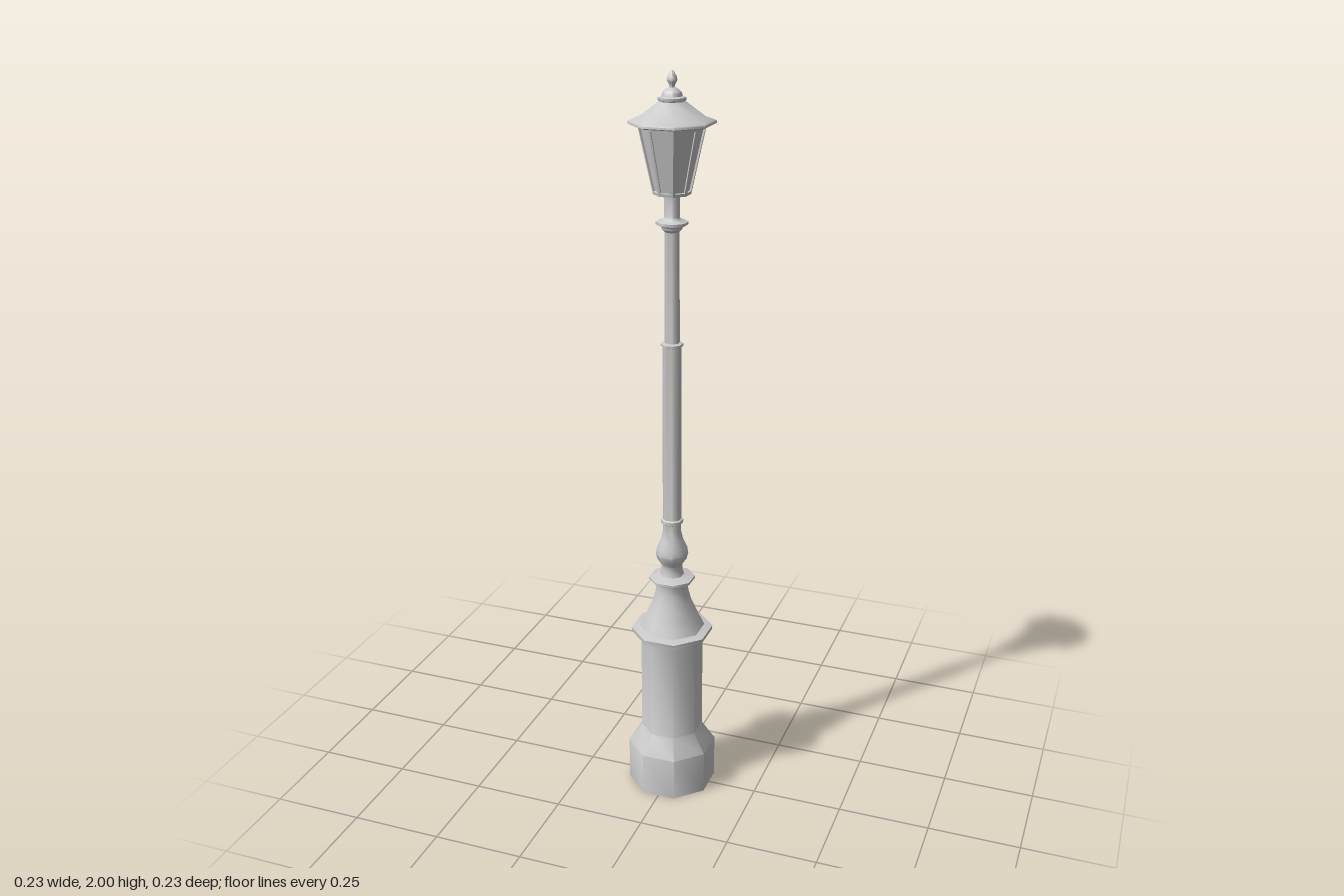
import * as THREE from 'three';
import { toCreasedNormals } from 'three/addons/utils/BufferGeometryUtils.js';

const SIDES = 8;
const material = new THREE.MeshStandardMaterial({ color: 0xcccccc, side: THREE.DoubleSide });

// Octagonal turned part; profile holds [half width across flats, height]
function turned(name, profile, crease = 0.82) {
  const points = profile.map(([r, y]) => new THREE.Vector2(r / Math.cos(Math.PI / SIDES), y));
  const geometry = new THREE.LatheGeometry(points, SIDES, Math.PI / SIDES);
  const mesh = new THREE.Mesh(toCreasedNormals(geometry, crease), material);
  mesh.name = name;
  return mesh;
}

// Trapezoid outline, narrow end at the bottom
function trapezoid(path, bottom, top, y0, y1) {
  path.moveTo(-bottom, y0);
  path.lineTo(bottom, y0);
  path.lineTo(top, y1);
  path.lineTo(-top, y1);
  path.closePath();
  return path;
}

function createLantern() {
  const lantern = new THREE.Group();
  lantern.name = 'lantern';
  const y0 = 1.7, y1 = 1.872, r0 = 0.044, r1 = 0.079;
  const slant = Math.hypot(y1 - y0, r1 - r0);
  const tilt = Math.atan2(r1 - r0, y1 - y0);
  const half = Math.tan(Math.PI / SIDES);

  // Eight window frames leaning outward
  const shape = trapezoid(new THREE.Shape(), r0 * half, r1 * half, 0, slant);
  shape.holes.push(trapezoid(new THREE.Path(), r0 * half - 0.005, r1 * half - 0.006, 0.008, slant - 0.01));
  const depth = 0.006;
  const frame = new THREE.ExtrudeGeometry(shape, { depth, bevelEnabled: false });
  frame.translate(0, 0, -depth);
  frame.rotateX(tilt);
  frame.translate(0, y0, r0);
  for (let i = 0; i < SIDES; i++) {
    const mesh = new THREE.Mesh(frame, material);
    mesh.name = 'windowFrame';
    mesh.rotation.y = (i * 2 * Math.PI) / SIDES;
    lantern.add(mesh);
  }

  // Recessed panes and floor
  lantern.add(turned('glassPanes', [[0, y0 + 0.001], [r0 - 0.005, y0 + 0.001], [r1 - 0.005, y1]], 0.4));

  // Roof with a flat eave and a shallow cone
  lantern.add(turned('roof', [
    [0.07, 1.87], [0.095, 1.87], [0.101, 1.873], [0.101, 1.878], [0.098, 1.881],
    [0.077, 1.888], [0.03, 1.926],
  ]));

  // Cap and finial
  lantern.add(turned('finial', [
    [0.028, 1.924], [0.032, 1.928], [0.032, 1.935], [0.024, 1.938], [0.022, 1.947],
    [0.014, 1.955], [0.007, 1.959], [0.007, 1.965], [0.012, 1.975], [0.011, 1.983],
    [0.005, 1.995], [0, 2],
  ]));
  return lantern;
}

export function createModel() {
  const group = new THREE.Group();
  group.name = 'streetLamp';

  // Pedestal
  group.add(turned('pedestal', [
    [0, 0], [0.113, 0], [0.113, 0.122], [0.079, 0.175], [0.079, 0.477],
  ]));
  group.add(turned('pedestalFlange', [
    [0.077, 0.476], [0.103, 0.476], [0.104, 0.488], [0.081, 0.493],
  ]));
  group.add(turned('taperedNeck', [
    [0.083, 0.492], [0.067, 0.53], [0.05, 0.57], [0.042, 0.6], [0.039, 0.625],
    [0.044, 0.634], [0.058, 0.637], [0.058, 0.644], [0.04, 0.649], [0.03, 0.652],
  ]));

  // Bulb between neck and shaft
  group.add(turned('bulb', [
    [0.031, 0.65], [0.027, 0.665], [0.027, 0.682], [0.037, 0.697], [0.041, 0.715],
    [0.038, 0.734], [0.028, 0.757], [0.023, 0.78], [0.023, 0.804],
    [0.028, 0.807], [0.028, 0.816], [0.023, 0.819],
  ]));

  // Two-stage shaft
  group.add(turned('lowerShaft', [
    [0.023, 0.815], [0.023, 1.305], [0.027, 1.307], [0.027, 1.313], [0.018, 1.316],
  ]));
  group.add(turned('upperShaft', [[0.0185, 1.31], [0.0175, 1.612]]));
  group.add(turned('collar', [
    [0.0175, 1.605], [0.024, 1.612], [0.025, 1.618], [0.038, 1.624], [0.038, 1.631],
    [0.022, 1.636], [0.018, 1.642], [0.018, 1.702],
  ]));

  group.add(createLantern());
  return group;
}
